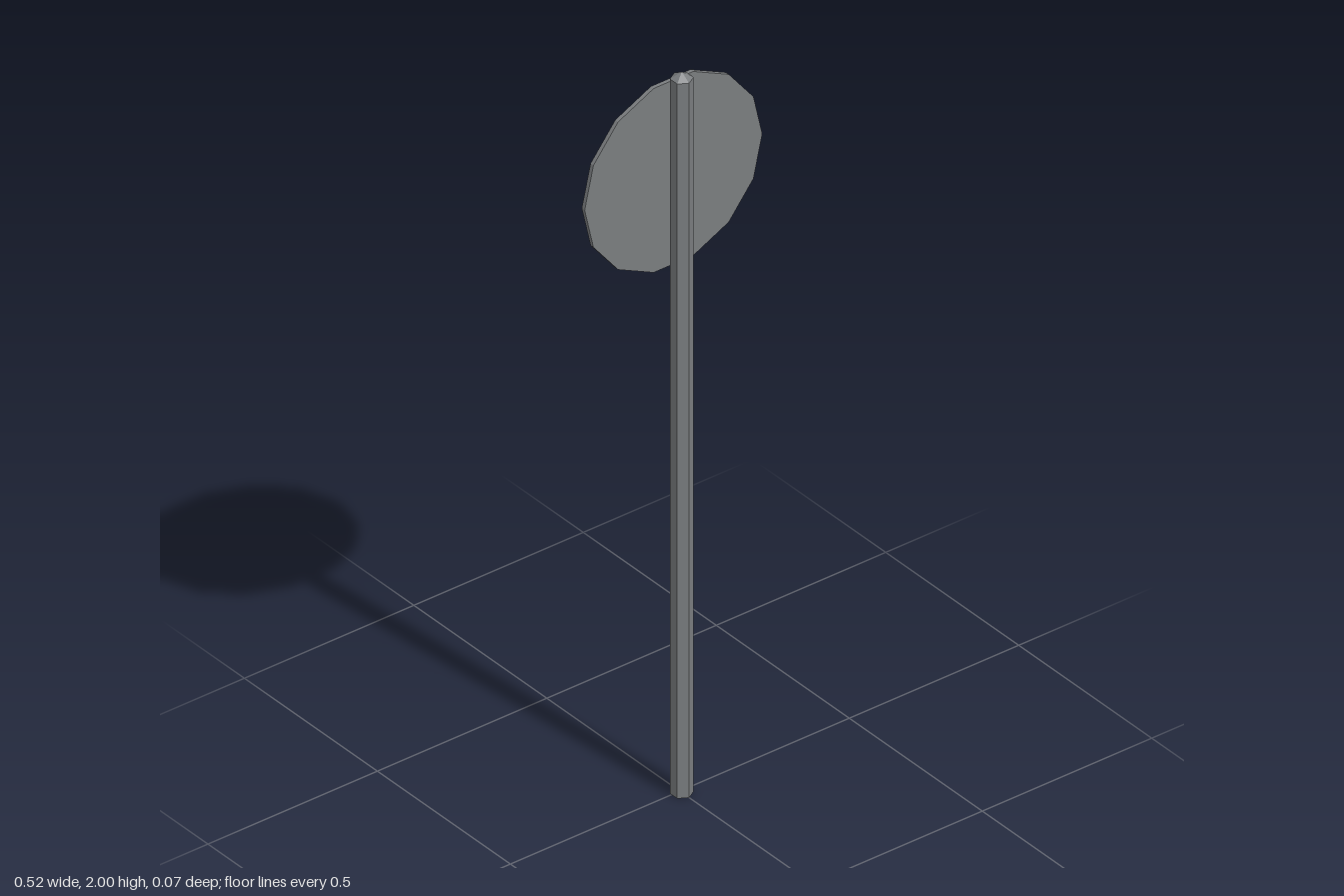
import * as THREE from 'three';

const metal = new THREE.MeshStandardMaterial({ color: 0x7a7d7f });
metal.name = 'grey metal';
const blue = new THREE.MeshStandardMaterial({ color: 0x1f4690 });
blue.name = 'sign blue';
const pale = new THREE.MeshStandardMaterial({ color: 0xc4c4c4 });
pale.name = 'arrow white';

// Gives every face its own normals, for a faceted look
function faceted(geometry) {
  const flat = geometry.toNonIndexed();
  flat.computeVertexNormals();
  return flat;
}

function addPart(group, name, geometry, material, x, y, z) {
  const mesh = new THREE.Mesh(geometry, material);
  mesh.name = name;
  mesh.position.set(x, y, z);
  group.add(mesh);
  return mesh;
}

export function createModel() {
  const model = new THREE.Group();
  model.name = 'roadSign';

  const postRadius = 0.028, postHeight = 1.983, postZ = 0.007;
  const signRadius = 0.262, signY = 1.706;

  // Hexagonal post with a low pointed cap
  const post = new THREE.CylinderGeometry(postRadius, postRadius, postHeight, 6);
  addPart(model, 'post', faceted(post), metal, 0, postHeight / 2, postZ);
  const capHeight = 2 - postHeight;
  const cap = new THREE.ConeGeometry(postRadius, capHeight, 6, 1, true);
  addPart(model, 'postCap', faceted(cap), metal, 0, postHeight + capHeight / 2, postZ);

  // Fourteen-sided metal plate behind the post
  const plate = new THREE.CylinderGeometry(signRadius, signRadius, 0.011, 14);
  plate.rotateY(Math.PI / 2).rotateX(Math.PI / 2);
  addPart(model, 'signPlate', faceted(plate), metal, 0, signY, -0.0295);

  // Blue painted face
  const face = new THREE.CircleGeometry(signRadius - 0.003, 14).rotateY(Math.PI);
  addPart(model, 'signFace', face, blue, 0, signY, -0.036);

  // Arrow, pointing to the reader's right
  const outline = [
    [-0.155, -0.036], [0.008, -0.036], [0.008, -0.12], [0.158, 0],
    [0.008, 0.12], [0.008, 0.036], [-0.155, 0.036],
  ].map(([x, y]) => new THREE.Vector2(x, y));
  const arrow = new THREE.ShapeGeometry(new THREE.Shape(outline)).rotateY(Math.PI);
  addPart(model, 'arrow', arrow, pale, 0, signY, -0.037);

  return model;
}
